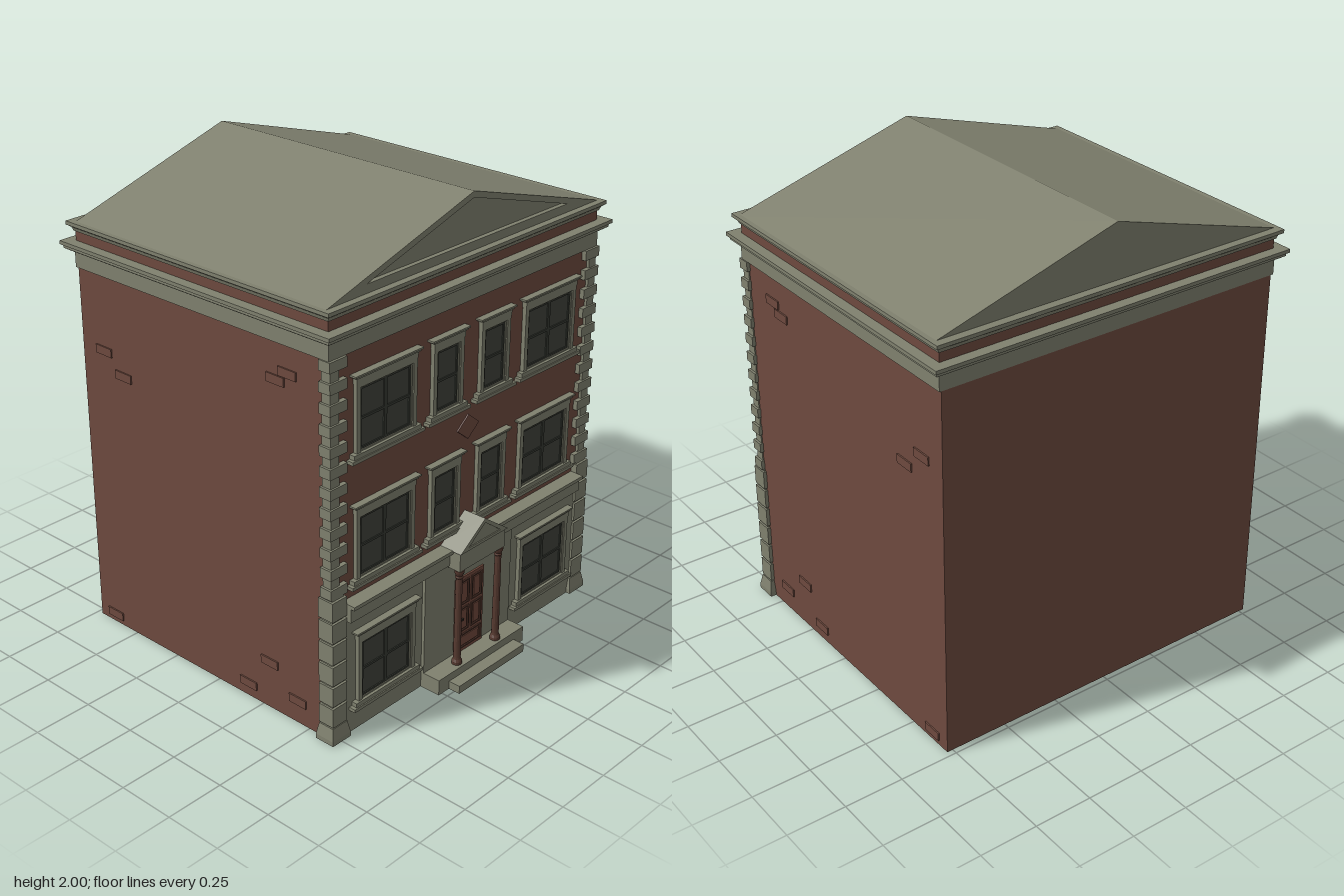
import * as THREE from 'three';

const mat = (name, color) => {
  const m = new THREE.MeshStandardMaterial({ color });
  m.name = name;
  return m;
};

export function createModel() {
  const stone = mat('stone', 0x80816f);
  const brick = mat('brick', 0x6e4a3f);
  const glass = mat('dark glass', 0x40433c);
  const sash = mat('sash', 0x363932);
  const wood = mat('door wood', 0x6f483b);
  const darkWood = mat('column brown', 0x573a30);
  const metal = mat('handle', 0x2c2420);
  const house = new THREE.Group();
  house.name = 'townhouse';

  const add = (parent, name, geo, material, x = 0, y = 0, z = 0) => {
    const m = new THREE.Mesh(geo, material);
    m.name = name;
    m.position.set(x, y, z);
    parent.add(m);
    return m;
  };
  // Box given by its extents along each axis
  const box = (parent, name, material, x0, x1, y0, y1, z0, z1) =>
    add(parent, name, new THREE.BoxGeometry(x1 - x0, y1 - y0, z1 - z0), material,
      (x0 + x1) / 2, (y0 + y1) / 2, (z0 + z1) / 2);
  const polygon = (pts) => new THREE.Shape(pts.map(([x, y]) => new THREE.Vector2(x, y)));
  const extrude = (shape, depth) =>
    new THREE.ExtrudeGeometry(shape, { depth, bevelEnabled: false });
  const rect = (w, h) => [[-w, -h], [w, -h], [w, h], [-w, h]];
  const framed = (outer, inner, depth) => {
    const s = polygon(outer);
    s.holes.push(polygon(inner));
    return extrude(s, depth);
  };
  // Moulding swept round a rectangle of half sizes hw, hd; profile is [offset, y]
  const moulding = (hw, hd, profile) => {
    const g = new THREE.LatheGeometry(
      profile.map(([r, y]) => new THREE.Vector2(r * Math.SQRT2, y)), 4, Math.PI / 4).toNonIndexed();
    const p = g.attributes.position;
    for (let i = 0; i < p.count; i++) {
      p.setX(i, p.getX(i) + Math.sign(p.getX(i)) * hw);
      p.setZ(i, p.getZ(i) + Math.sign(p.getZ(i)) * hd);
    }
    g.computeVertexNormals();
    return g;
  };

  // Brick body
  box(house, 'brickBody', brick, -0.775, 0.775, 0, 1.6, -0.727, 0.61);

  // Frieze, cornices and the brick band between them
  const cz = -0.055;
  add(house, 'frieze', moulding(0.7, 0.59,
    [[0, 1.58], [0.085, 1.58], [0.085, 1.65], [0, 1.65]]), stone, 0, 0, cz);
  add(house, 'lowerCornice', moulding(0.7, 0.59,
    [[0, 1.65], [0.1, 1.65], [0.115, 1.66], [0.115, 1.67], [0.125, 1.675], [0.125, 1.69], [0, 1.69]]),
    stone, 0, 0, cz);
  add(house, 'brickBand', moulding(0.7, 0.59,
    [[0, 1.69], [0.08, 1.69], [0.08, 1.73], [0, 1.73]]), brick, 0, 0, cz);
  add(house, 'upperCornice', moulding(0.7, 0.59,
    [[0, 1.73], [0.085, 1.73], [0.09, 1.745], [0.105, 1.755], [0.105, 1.77], [0, 1.77]]),
    stone, 0, 0, cz);

  // Gabled roof with a recessed front triangle
  const gable = [[-0.79, 1.768], [0.79, 1.768], [0, 2]];
  add(house, 'roof', extrude(polygon(gable), 1.305), stone, 0, 0, -0.715);
  add(house, 'gableFrame', framed(gable, [[-0.58, 1.805], [0.58, 1.805], [0, 1.975]], 0.02),
    stone, 0, 0, 0.59);

  // Corner quoins, mirrored
  for (const s of [-1, 1]) {
    const corner = new THREE.Group();
    corner.name = s > 0 ? 'leftQuoins' : 'rightQuoins';
    house.add(corner);
    const block = (name, inner, outer, y0, y1, z0, z1) =>
      box(corner, name, stone, Math.min(s * inner, s * outer), Math.max(s * inner, s * outer), y0, y1, z0, z1);
    const n = 23, step = 0.95 / n;
    for (let i = 0; i < n; i++) {
      const y = 0.63 + i * step;
      if (i % 2 === 0) block('longQuoin', 0.7, 0.79, y, y + step, 0.575, 0.63);
      else block('shortQuoin', 0.735, 0.78, y, y + step, 0.58, 0.622);
    }
    block('quoinBacking', 0.72, 0.782, 0.05, 0.63, 0.572, 0.628);
    for (let i = 0; i < 6; i++) {
      const y = 0.075 + i * 0.093;
      block('baseQuoin', 0.712, 0.79, y, y + 0.082, 0.565, 0.638);
    }
    add(corner, 'quoinFoot', moulding(0.03, 0.025,
      [[0, 0], [0.02, 0], [0.02, 0.02], [0.01, 0.07], [0, 0.07]]), stone, s * 0.751, 0, 0.602);
  }

  // Ground floor stone front with string course
  box(house, 'groundFloorFront', stone, -0.72, 0.72, 0, 0.52, 0.58, 0.628);
  box(house, 'entranceBay', stone, -0.27, 0.27, 0, 0.51, 0.6, 0.642);
  box(house, 'stringCourse', stone, -0.71, 0.71, 0.51, 0.57, 0.6, 0.655);
  box(house, 'stringCourseCap', stone, -0.71, 0.71, 0.57, 0.585, 0.6, 0.673);

  // Windows: frame, panes, bars, lintel and sill
  const addWindow = (x, y, z, halfW, leaves) => {
    const g = new THREE.Group();
    g.name = 'window';
    g.position.set(x, y, z);
    house.add(g);
    const h = 0.128, w = halfW;
    add(g, 'frame', framed(rect(w + 0.02, h + 0.018), rect(w, h), 0.018), stone);
    add(g, 'innerFrame', framed(rect(w + 0.006, h + 0.006), rect(w - 0.006, h - 0.006), 0.013), stone);
    box(g, 'glass', glass, -w, w, -h, h, -0.004, 0.004);
    const lw = (2 * w - 0.012) / leaves;
    for (let i = 0; i < leaves; i++) {
      const cx = -w + 0.006 + lw * (i + 0.5);
      add(g, 'sashFrame', framed(rect(lw / 2, h - 0.006), rect(lw / 2 - 0.008, h - 0.014), 0.009), sash, cx);
      box(g, 'sashBar', sash, cx - lw / 2, cx + lw / 2, -0.005, 0.005, 0.002, 0.009);
    }
    box(g, 'lintel', stone, -w - 0.022, w + 0.022, h + 0.015, h + 0.04, 0, 0.02);
    box(g, 'lintelMoulding', stone, -w - 0.03, w + 0.03, h + 0.04, h + 0.048, 0, 0.025);
    box(g, 'lintelCap', stone, -w - 0.04, w + 0.04, h + 0.048, h + 0.055, 0, 0.03);
    box(g, 'sill', stone, -w - 0.04, w + 0.04, -h - 0.018, -h, 0, 0.025);
    box(g, 'sillBase', stone, -w - 0.055, w + 0.055, -h - 0.032, -h - 0.018, 0, 0.03);
  };
  for (const s of [-1, 1]) {
    for (const y of [0.787, 1.307]) {
      addWindow(s * 0.485, y, 0.61, 0.143, 2);
      addWindow(s * 0.14, y, 0.61, 0.067, 1);
    }
    addWindow(s * 0.492, 0.262, 0.628, 0.143, 2);
  }

  // Diamond ornament
  const diamond = (r) => [[-0.065 * r, 0], [0, -0.052 * r], [0.065 * r, 0], [0, 0.052 * r]];
  add(house, 'diamond', extrude(polygon(diamond(1)), 0.008), brick, 0, 1.052, 0.608);

  // Steps
  box(house, 'landing', stone, -0.27, 0.27, 0, 0.068, 0.6, 0.722);
  box(house, 'step', stone, -0.207, 0.207, 0, 0.035, 0.7, 0.775);

  // Panelled door
  const door = new THREE.Group();
  door.name = 'door';
  house.add(door);
  box(door, 'doorLeaf', wood, -0.088, 0.085, 0.068, 0.415, 0.63, 0.65);
  const panel = (x0, x1, y0, y1) => {
    const w = (x1 - x0) / 2, h = (y1 - y0) / 2;
    add(door, 'panelMoulding', framed(rect(w, h), rect(w - 0.006, h - 0.006), 0.007),
      darkWood, x0 + w, y0 + h, 0.648);
    box(door, 'panel', wood, x0 + 0.014, x1 - 0.014, y0 + 0.012, y1 - 0.012, 0.645, 0.654);
  };
  for (const [a, b] of [[-0.073, -0.008], [0.006, 0.071]]) {
    panel(a, b, 0.29, 0.4);
    panel(a, b, 0.165, 0.275);
  }
  panel(-0.073, 0.071, 0.085, 0.15);
  box(door, 'handlePlate', metal, -0.084, -0.076, 0.205, 0.245, 0.648, 0.657);
  box(door, 'handle', metal, -0.084, -0.05, 0.222, 0.23, 0.657, 0.664);

  // Portico columns
  const columnProfile = [[0, 0.068], [0.022, 0.068], [0.022, 0.08], [0.017, 0.09], [0.0155, 0.1],
    [0.0135, 0.46], [0.017, 0.466], [0.014, 0.474], [0.02, 0.488], [0.021, 0.5], [0, 0.5]];
  const columnGeo = new THREE.LatheGeometry(
    columnProfile.map(([r, y]) => new THREE.Vector2(r, y)), 12).toNonIndexed();
  columnGeo.computeVertexNormals();
  for (const s of [-1, 1]) add(house, 'column', columnGeo, darkWood, s * 0.122, 0, 0.69);

  // Entablature and pediment
  box(house, 'entablature', stone, -0.14, 0.14, 0.5, 0.585, 0.62, 0.707);
  add(house, 'porticoPediment', extrude(polygon([[-0.147, 0.583], [0.147, 0.583], [0, 0.686]]), 0.1),
    stone, 0, 0, 0.61);
  add(house, 'pedimentFrame', framed([[-0.147, 0.583], [0.147, 0.583], [0, 0.686]],
    [[-0.1, 0.595], [0.1, 0.595], [0, 0.668]], 0.006), stone, 0, 0, 0.709);

  // Scattered raised bricks on both side walls, as [z, y]
  const raised = [[0.41, 1.47], [0.35, 1.43], [-0.6, 1.26], [-0.49, 1.18],
    [0.29, 0.21], [0.44, 0.1], [0.17, 0.06], [-0.63, 0.04]];
  for (const s of [-1, 1])
    for (const [z, y] of raised)
      add(house, 'raisedBrick', new THREE.BoxGeometry(0.012, 0.036, 0.09), brick, s * 0.775, y, z);

  return house;
}
